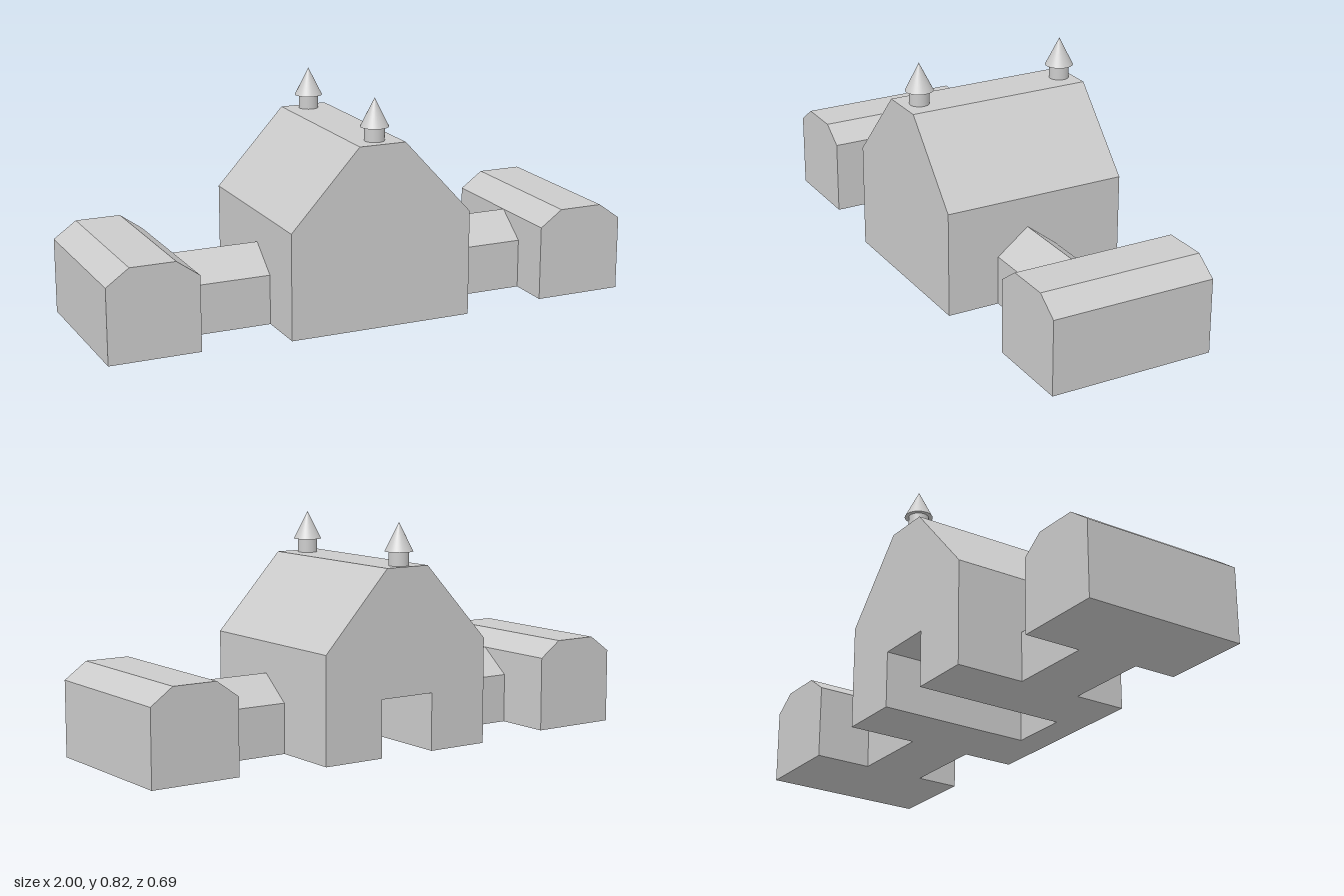
import * as THREE from 'three';
import { mergeGeometries } from 'three/addons/utils/BufferGeometryUtils.js';

const material = new THREE.MeshStandardMaterial({ color: 0xcccccc });

function add(parent, name, geometry) {
  const mesh = new THREE.Mesh(geometry, material);
  mesh.name = name;
  parent.add(mesh);
  return mesh;
}

const outline = (points) => new THREE.Shape(points.map(([x, y]) => new THREE.Vector2(x, y)));

// Solid with a constant cross-section, running along z from 0 to length
const prism = (points, length) =>
  new THREE.ExtrudeGeometry(outline(points), { depth: length, bevelEnabled: false });

// Flat wall facing +z, or -z when turned (outlines are symmetric in x)
function wall(points, z, turned) {
  const g = new THREE.ShapeGeometry(outline(points)).toNonIndexed();
  g.deleteAttribute('uv');
  if (turned) g.rotateY(Math.PI);
  return g.translate(0, 0, z);
}

// Panel swept along z from an outline edge, facing outward
function panel([ax, ay], [bx, by], z0, z1) {
  const a1 = [ax, ay, z1], a0 = [ax, ay, z0], b0 = [bx, by, z0], b1 = [bx, by, z1];
  const g = new THREE.BufferGeometry();
  g.setAttribute('position',
    new THREE.Float32BufferAttribute([a1, a0, b0, a1, b0, b1].flat(), 3));
  g.computeVertexNormals();
  return g;
}

// Main hall with a deep passage opening at the back
function hallGeometry() {
  const half = 0.346, inner = 0.235, door = 0.11, doorTop = 0.21;
  const roof = [[half, 0], [half, 0.388], [0.088, 0.668], [-0.088, 0.668], [-half, 0.388]];
  const passage = [[-door, 0], [-door, doorTop], [door, doorTop], [door, 0]];
  const front = [[-half, 0], ...roof];
  const back = [[-half, 0], ...passage, ...roof];
  const parts = [
    wall(front, half),
    wall(back, -half, true),
    wall(passage.slice().reverse(), inner, true),
    panel([-half, 0], [half, 0], inner, half),
  ];
  // The first five edges form the floor and passage, the rest walls and roof
  back.forEach((p, i) => {
    parts.push(panel(p, back[(i + 1) % back.length], -half, i < 5 ? inner : half));
  });
  return mergeGeometries(parts);
}

export function createModel() {
  const model = new THREE.Group();
  model.name = 'building';
  add(model, 'mainHall', hallGeometry());

  // Side pavilions and the gabled links joining them to the hall
  const pavilion = prism([[-0.167, 0], [0.167, 0], [0.167, 0.275], [0.083, 0.335],
    [-0.083, 0.335], [-0.167, 0.275]], 0.612);
  const link = prism([[-0.118, 0], [0.118, 0], [0.118, 0.183], [0, 0.275],
    [-0.118, 0.183]], 0.322);
  for (const [side, s] of [['left', 1], ['right', -1]]) {
    add(model, side + 'Pavilion', pavilion).position.set(s * 0.833, 0, -0.3);
    const mesh = add(model, side + 'Link', link);
    mesh.rotation.y = s * Math.PI / 2;
    mesh.position.set(s * 0.345, 0, 0.032);
  }

  // Ridge turrets
  for (const [name, z] of [['frontTurret', 0.278], ['backTurret', -0.294]]) {
    const turret = new THREE.Group();
    turret.name = name;
    add(turret, 'turretDrum', new THREE.CylinderGeometry(0.036, 0.036, 0.05, 32)).position.y = 0.693;
    add(turret, 'turretSpire', new THREE.ConeGeometry(0.051, 0.102, 32)).position.y = 0.769;
    turret.position.z = z;
    model.add(turret);
  }
  return model;
}
